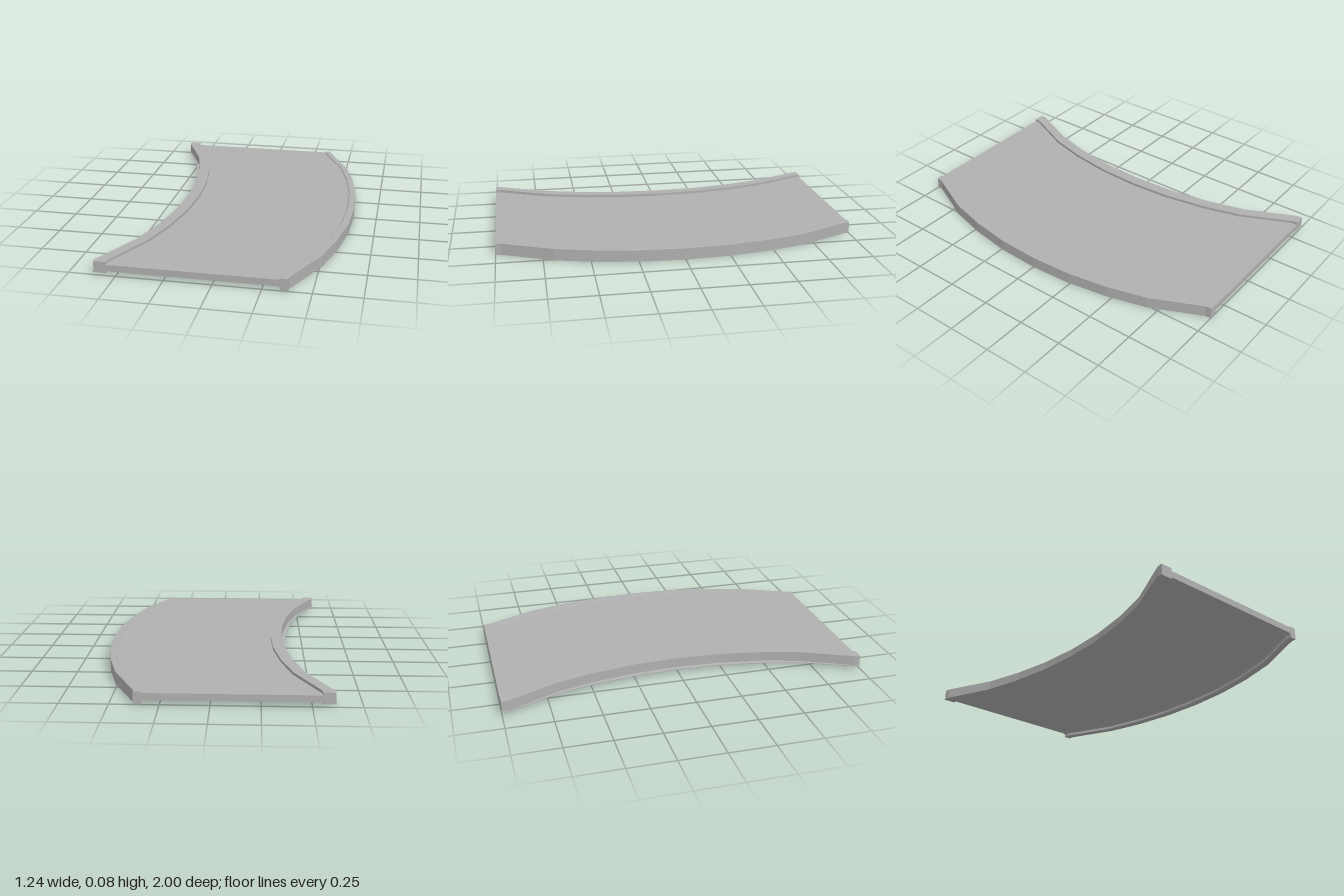
import * as THREE from 'three';

// Stations along the curved panel: [z, sideways shift]
const half = [[0.24, -0.012], [0.475, -0.05], [0.69, -0.108], [0.97, -0.238], [1, -0.24]];
const stations = [...half.map(([z, s]) => [-z, s]).reverse(), [0, 0], ...half];

// Sweep an x/y cross-section (given at z = 0) through all stations
function sweep(name, profile, material, bend = 1) {
  const shape = new THREE.Shape(profile.map(([x, y]) => new THREE.Vector2(x, y)));
  const n = stations.length - 1;
  const geometry = new THREE.ExtrudeGeometry(shape, { depth: n, steps: n, bevelEnabled: false });
  const p = geometry.attributes.position;
  for (let i = 0; i < p.count; i++) {
    const [z, shift] = stations[Math.round(p.getZ(i))];
    p.setX(i, p.getX(i) + shift * bend);
    p.setZ(i, z);
  }
  geometry.computeVertexNormals();
  const mesh = new THREE.Mesh(geometry, material);
  mesh.name = name;
  return mesh;
}

export function createModel() {
  const grey = new THREE.MeshStandardMaterial({ color: 0xb0b0b0 });
  grey.name = 'grey';
  const group = new THREE.Group();
  group.name = 'curvedPanel';

  // Flat deck between the rails
  group.add(sweep('deck', [[-0.31, 0.024], [0.565, 0.024], [0.565, 0.06], [-0.31, 0.06]], grey));

  // Raised rail on the inside of the bend
  group.add(sweep('innerRail', [[-0.374, 0.014], [-0.31, 0.014], [-0.31, 0.075], [-0.374, 0.075]], grey));

  // Thin lip at the foot of the inner rail
  group.add(sweep('innerLip', [[-0.397, 0.014], [-0.372, 0.014], [-0.372, 0.021], [-0.397, 0.018]], grey, 0.93));

  // Deep rail on the outside of the bend, with sloped transitions to the deck
  group.add(sweep('outerRail', [
    [0.565, 0.024], [0.58, 0.018], [0.58, 0.003], [0.584, 0], [0.62, 0],
    [0.62, 0.065], [0.617, 0.067], [0.584, 0.067], [0.58, 0.061], [0.565, 0.06],
  ], grey));

  return group;
}
